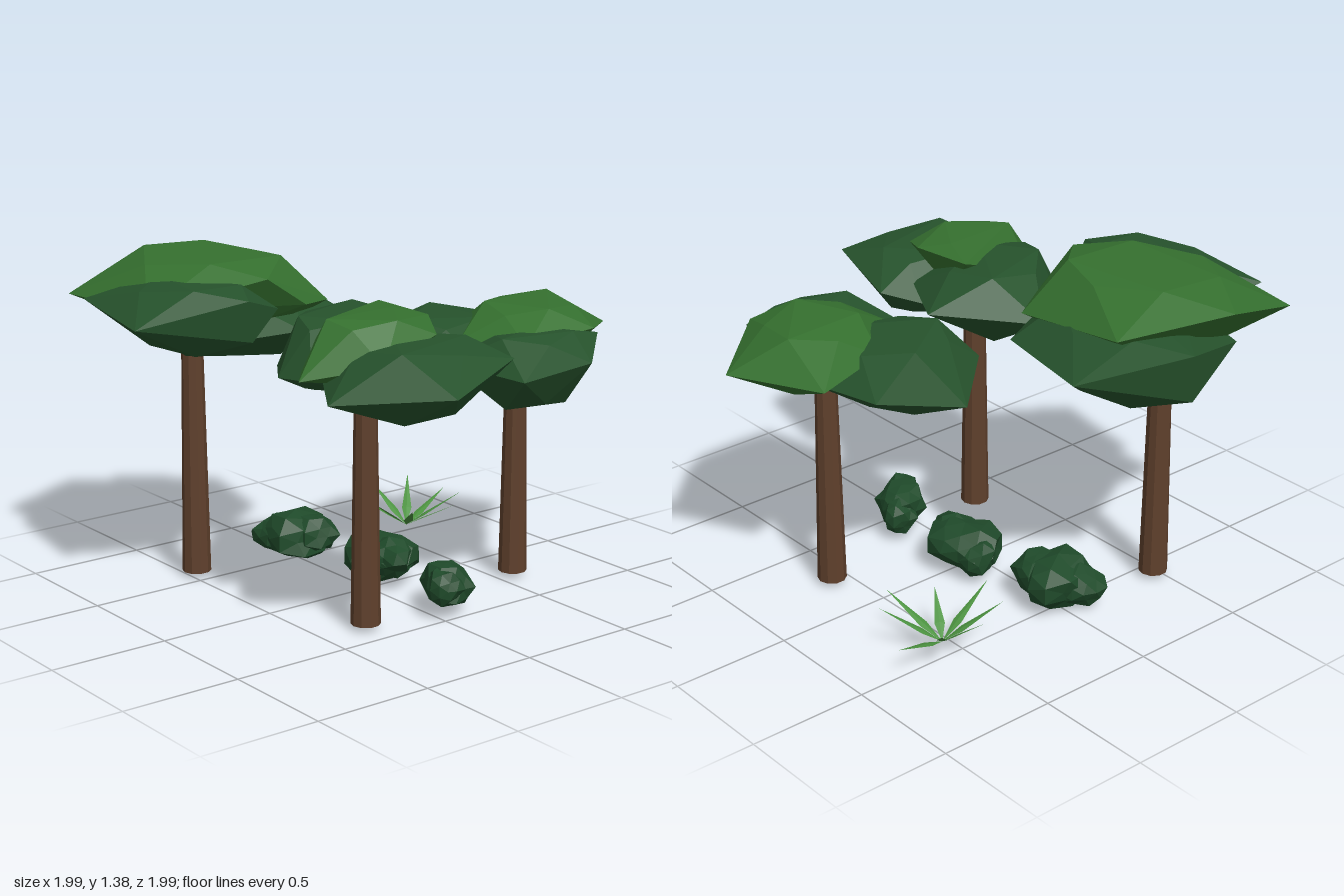
import * as THREE from 'three';
import { ConvexGeometry } from 'three/addons/geometries/ConvexGeometry.js';

const paint = (color, extra = {}) => new THREE.MeshStandardMaterial({ color, flatShading: true, ...extra });

const bark = paint(0x5f402c);
const leafLight = paint(0x35702f);
const leafDark = paint(0x26522c);
const bushGreen = paint(0x1f4a2a);
const bladeGreen = paint(0x4c9340, { side: THREE.DoubleSide });

function add(parent, name, geometry, material, x = 0, y = 0, z = 0) {
  const mesh = new THREE.Mesh(geometry, material);
  mesh.name = name;
  mesh.position.set(x, y, z);
  parent.add(mesh);
}

function addGroup(parent, name) {
  const group = new THREE.Group();
  group.name = name;
  parent.add(group);
  return group;
}

// Faceted leaf mass: a rim of corners, closed by a smaller, half-turned cap above and below
function foliage(top, bottom, ...rim) {
  const corners = rim.map((p) => new THREE.Vector3(...p));
  const centre = corners.reduce((sum, p) => sum.add(p), new THREE.Vector3()).divideScalar(corners.length);
  const caps = corners.flatMap((p, i) => {
    const mid = p.clone().lerp(corners[(i + 1) % corners.length], 0.5);
    const dip = (i % 2) * 0.025;
    const upper = centre.clone().lerp(mid, 0.65).setY(top - dip);
    const lower = centre.clone().lerp(mid, 0.55).setY(bottom + dip);
    return [upper, lower];
  });
  return new ConvexGeometry([...corners, ...caps]);
}

// Tapered trunk, a lighter crown and two darker masses beneath it
function addTree(parent, name, x, z, top, crown, ...lower) {
  const tree = addGroup(parent, name);
  const base = 0.015;
  add(tree, 'trunk', new THREE.CylinderGeometry(0.043, 0.06, top - base, 10), bark, x, (top + base) / 2, z);
  add(tree, 'crownFoliage', crown, leafLight);
  lower.forEach((geometry) => add(tree, 'lowerFoliage', geometry, leafDark));
}

// Lumpy boulder shape: an icosahedron with each corner pushed in or out
function lump(rx, ry, rz, seed) {
  const g = new THREE.IcosahedronGeometry(1, 1);
  const p = g.attributes.position;
  for (let i = 0; i < p.count; i++) {
    const [x, y, z] = [p.getX(i), p.getY(i), p.getZ(i)];
    const phase = Math.round(x * 50) * 1.7 + Math.round(y * 50) * 2.3 + Math.round(z * 50) * 3.1;
    const k = 0.9 + 0.14 * Math.sin(phase + seed);
    p.setXYZ(i, x * k * rx, y * k * ry, z * k * rz);
  }
  g.computeVertexNormals();
  return g;
}

// Bush: a main lump with two smaller lobes, set along one diagonal or the other
function addBush(parent, x, z, rx, ry, rz, seed, diagonal) {
  const bush = addGroup(parent, 'bush');
  bush.position.set(x, 0.11, z);
  add(bush, 'bushBody', lump(rx * 0.95, ry, rz * 0.95, seed), bushGreen);
  for (const s of [-1, 1]) {
    const lobe = lump(rx * 0.62, ry * 0.8, rz * 0.62, seed + s);
    add(bush, 'bushLobe', lobe, bushGreen, s * rx * 0.42, s * ry * 0.12, s * diagonal * rz * 0.42);
  }
}

// Pointed blade, widest a third of the way out, with a shallow middle fold
function bladeGeometry(root, tip) {
  const along = tip.clone().sub(root);
  const side = new THREE.Vector3(-along.z, 0, along.x).normalize().multiplyScalar(0.021);
  const mid = root.clone().addScaledVector(along, 0.33);
  const rib = mid.clone().setY(mid.y + 0.004);
  const a = mid.clone().add(side), b = mid.clone().sub(side);
  const g = new THREE.BufferGeometry().setFromPoints([root, a, rib, a, tip, rib, root, rib, b, rib, tip, b]);
  g.computeVertexNormals();
  return g;
}

export function createModel() {
  const model = new THREE.Group();
  model.name = 'grove';

  // Trees
  addTree(model, 'leftTree', -0.57, 0.47, 1.12,
    foliage(1.375, 1.07, [-1, 1.33, 0.42], [-0.88, 1.2, 0.86], [-0.3, 1.22, 0.85],
      [-0.1, 1.33, 0.42], [-0.12, 1.2, 0.22], [-0.22, 1.18, 0.04], [-0.77, 1.25, 0.03]),
    foliage(1.315, 1.05, [-0.17, 1.19, 0.99], [0, 1.28, 0.58], [-0.02, 1.11, 0.55],
      [-0.13, 1.2, 0.35], [-0.6, 1.15, 0.45], [-0.68, 1.22, 0.91]),
    foliage(1.24, 0.94, [-1, 1.22, 0.21], [-0.97, 1.01, 0.24], [-0.8, 1.08, 0.65],
      [-0.3, 1.05, 0.72], [-0.1, 1.1, 0.25], [-0.28, 1.12, -0.07], [-0.76, 1.13, -0.18]));

  addTree(model, 'rightTree', 0.37, 0.3, 1.1,
    foliage(1.265, 1.02, [0.17, 1.25, 0.08], [0.45, 1.24, 0.06], [0.6, 1.2, 0.14],
      [0.64, 1.12, 0.42], [0.43, 1.06, 0.66], [0.25, 1.09, 0.5]),
    foliage(1.23, 0.94, [0.09, 1.13, -0.18], [-0.2, 1.08, 0.18], [0, 1.01, 0.45],
      [0.23, 1.03, 0.61], [0.43, 1.05, 0.6], [0.45, 1.1, 0.03]),
    foliage(1.19, 0.91, [0.99, 1.06, 0.36], [0.65, 1.02, 0.69], [0.28, 1.05, 0.45],
      [0.35, 1.04, 0], [0.47, 1.08, -0.12], [0.85, 1.13, -0.03]));

  addTree(model, 'backTree', 0.24, -0.58, 1,
    foliage(1.18, 0.93, [0.31, 1.04, -1], [-0.08, 1.05, -0.82], [0.02, 1.07, -0.48],
      [0.28, 1.06, -0.24], [0.56, 1.07, -0.35], [0.57, 1.1, -0.7]),
    foliage(1.11, 0.82, [0.57, 1.08, -0.72], [0.7, 1, -0.57], [0.72, 0.98, -0.2],
      [0.35, 1, -0.12], [0.2, 1.03, -0.5]),
    foliage(1.12, 0.84, [-0.2, 1, -0.67], [-0.27, 0.89, -0.28], [-0.07, 0.97, -0.05],
      [0.2, 1, -0.07], [0.42, 0.98, -0.25], [0.2, 0.97, -0.72]));

  // Bushes
  addBush(model, -0.48, 0.02, 0.18, 0.115, 0.19, 1, -0.6);
  addBush(model, -0.03, -0.09, 0.185, 0.115, 0.165, 4, 0.3);
  addBush(model, 0.41, -0.08, 0.135, 0.105, 0.13, 8, 1);

  // Spiky plant: blades fanned around one root, each given by its tip
  const plant = addGroup(model, 'spikyPlant');
  const root = new THREE.Vector3(-0.46, 0.035, -0.57);
  const tips = [
    [-0.53, 0.14, -0.84], [-0.31, 0.19, -0.76], [-0.2, 0.18, -0.64], [-0.28, 0.16, -0.46],
    [-0.44, 0.21, -0.32], [-0.58, 0.19, -0.36], [-0.67, 0.2, -0.53], [-0.64, 0.2, -0.72],
  ];
  for (const tip of tips) add(plant, 'blade', bladeGeometry(root, new THREE.Vector3(...tip)), bladeGreen);

  return model;
}
